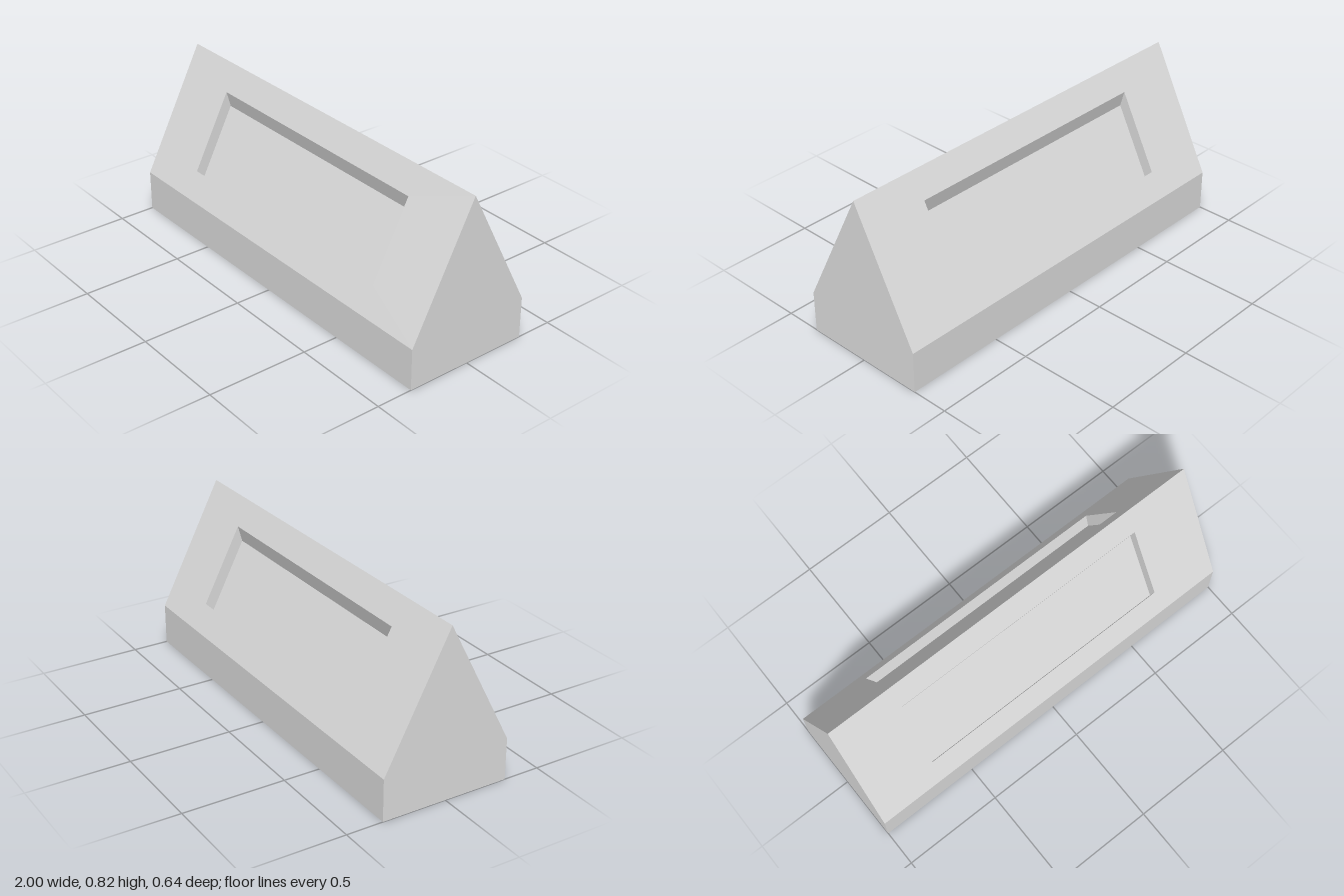
import * as THREE from 'three';

const HALF_LENGTH = 1, HALF_DEPTH = 0.32, SHOULDER = 0.205, RIDGE = 0.825;

// Four corners, counter-clockwise from outside: lower edge, then upper edge
const rect = (x, [y0, z0], [y1, z1]) => [[-x, y0, z0], [x, y0, z0], [x, y1, z1], [-x, y1, z1]];

// Four quads joining an outer loop of corners to an inner one
const ring = (outer, inner) => outer.map((c, i) => {
  const j = (i + 1) % 4;
  return [c, outer[j], inner[j], inner[i]];
});

function quadGeometry(quads) {
  const points = quads.flatMap(([a, b, c, d]) => [a, b, c, a, c, d]);
  const geometry = new THREE.BufferGeometry();
  geometry.setAttribute('position', new THREE.Float32BufferAttribute(points.flat(), 3));
  geometry.computeVertexNormals();
  return geometry;
}

export function createModel() {
  const model = new THREE.Group();
  model.name = 'ridgedBlock';
  const grey = new THREE.MeshStandardMaterial({ color: 0xdcdcdc });
  grey.name = 'lightGrey';

  // Depth of the slope at a given height
  const onSlope = (y) => [y, HALF_DEPTH * (RIDGE - y) / (RIDGE - SHOULDER)];
  const sink = ([y, z]) => [y - 0.08, z - 0.022];
  const low = onSlope(0.33), high = onSlope(0.7);

  const slope = rect(HALF_LENGTH, [SHOULDER, HALF_DEPTH], [RIDGE, 0]);
  const opening = rect(0.665, low, high);
  const floor = rect(0.665, sink(low), sink(high));

  // Gable end outline
  const gable = new THREE.Shape([
    [-HALF_DEPTH, 0], [HALF_DEPTH, 0], [HALF_DEPTH, SHOULDER], [0, RIDGE], [-HALF_DEPTH, SHOULDER],
  ].map(([x, y]) => new THREE.Vector2(x, y)));

  const parts = {
    baseWall: quadGeometry([rect(HALF_LENGTH, [0, HALF_DEPTH], [SHOULDER, HALF_DEPTH])]),
    underside: quadGeometry([rect(HALF_LENGTH, [0, 0], [0, HALF_DEPTH])]),
    slopeFrame: quadGeometry(ring(slope, opening)),
    recess: quadGeometry([...ring(opening, floor), floor]),
    gableEnd: new THREE.ShapeGeometry(gable).rotateY(Math.PI / 2).translate(HALF_LENGTH, 0, 0),
  };

  // The back half is the front half turned round, bringing the other gable with it
  for (const [side, angle] of [['front', 0], ['back', Math.PI]]) {
    const half = new THREE.Group();
    half.name = side + 'Half';
    half.rotation.y = angle;
    for (const [name, geometry] of Object.entries(parts)) {
      const mesh = new THREE.Mesh(geometry, grey);
      mesh.name = name;
      half.add(mesh);
    }
    model.add(half);
  }
  return model;
}
